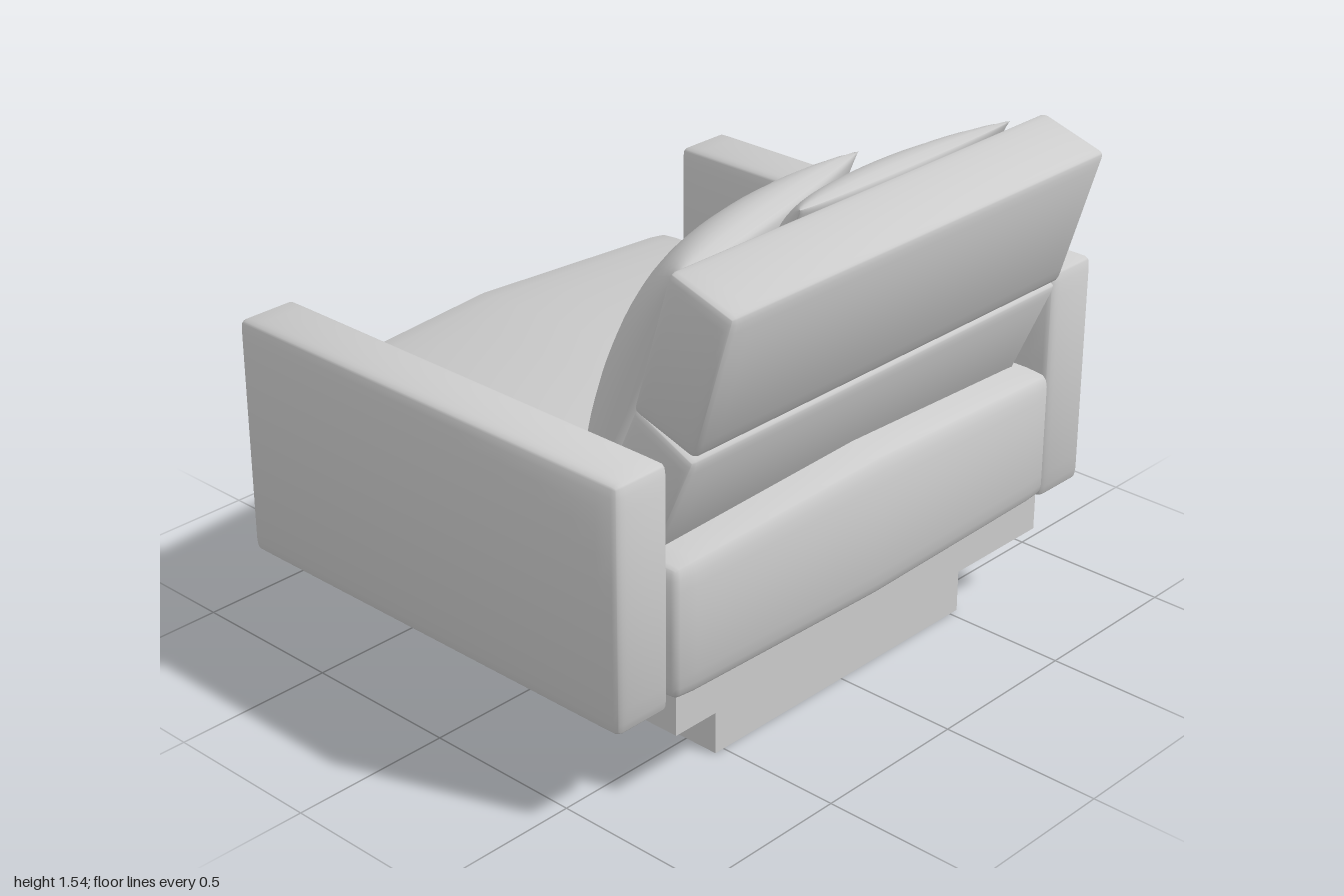
import * as THREE from 'three';
import { mergeVertices } from 'three/addons/utils/BufferGeometryUtils.js';

const grey = new THREE.MeshStandardMaterial({ color: 0xcccccc });
const greyThin = new THREE.MeshStandardMaterial({ color: 0xcccccc, side: THREE.DoubleSide });

function add(parent, name, geometry, x, y, z, material = grey) {
  const mesh = new THREE.Mesh(geometry, material);
  mesh.name = name;
  mesh.position.set(x, y, z);
  parent.add(mesh);
  return mesh;
}

function smooth(geometry) {
  geometry.deleteAttribute('uv');
  geometry.deleteAttribute('normal');
  const merged = mergeVertices(geometry, 1e-5);
  merged.computeVertexNormals();
  return merged;
}

// Upholstered block: rounded edges, with a top crown and end bulge along its depth
function upholstered(w, h, d, r, crown = 0, bulge = 0) {
  const geo = new THREE.BoxGeometry(2, 2, 2, 14, 14, 14);
  const pos = geo.attributes.position;
  const half = new THREE.Vector3(w / 2, h / 2, d / 2);
  const inner = half.clone().subScalar(r);
  const p = new THREE.Vector3(), core = new THREE.Vector3();
  for (let i = 0; i < pos.count; i++) {
    p.fromBufferAttribute(pos, i);
    // crowd the grid lines towards the edges
    p.set(...p.toArray().map((s) => Math.sin((s * Math.PI) / 2))).multiply(half);
    core.copy(p).clamp(inner.clone().negate(), inner);
    p.sub(core).setLength(r).add(core);
    const middle = 1 - Math.abs(p.z) / half.z;
    p.y += crown * middle * Math.max(0, p.y / half.y);
    p.x += bulge * middle * (p.x / half.x);
    pos.setXYZ(i, p.x, p.y, p.z);
  }
  const block = smooth(geo);
  // lean the normals outwards for a soft, padded shading
  const { position, normal } = block.attributes;
  for (let i = 0; i < position.count; i++) {
    p.fromBufferAttribute(position, i).divide(half).multiplyScalar(0.3);
    core.fromBufferAttribute(normal, i).add(p).normalize();
    normal.setXYZ(i, core.x, core.y, core.z);
  }
  return block;
}

// Removes the flat underside, leaving a hollow shell
function openBelow(geometry) {
  geometry.computeBoundingBox();
  const floor = geometry.boundingBox.min.y + 1e-4;
  const index = geometry.index.array, kept = [];
  for (let i = 0; i < index.length; i += 3) {
    const corners = [...index.slice(i, i + 3)];
    if (corners.some((c) => geometry.attributes.position.getY(c) > floor)) kept.push(...corners);
  }
  geometry.setIndex(kept);
  return geometry;
}

// Open four-sided band without top or bottom
function band(w, h, d) {
  const geo = new THREE.CylinderGeometry(Math.SQRT1_2, Math.SQRT1_2, h, 4, 1, true)
    .rotateY(Math.PI / 4).scale(w, 1, d).toNonIndexed();
  geo.computeVertexNormals();
  return geo;
}

// Square pillow with pinched corners: two puffed sheets joined at the seam
function pillow(parent, name, w, h, front, back, position, yaw, lean) {
  const group = new THREE.Group();
  group.name = name;
  for (const [label, depth, side] of [['Front', front, 1], ['Back', back, -1]]) {
    const geo = new THREE.PlaneGeometry(2, 2, 24, 24);
    if (side < 0) geo.rotateY(Math.PI);
    const pos = geo.attributes.position;
    for (let i = 0; i < pos.count; i++) {
      const u = Math.sin((pos.getX(i) * Math.PI) / 2), v = Math.sin((pos.getY(i) * Math.PI) / 2);
      const a = Math.max(0, 1 - u * u), b = Math.max(0, 1 - v * v);
      const puff = Math.pow(a * b, 0.42);
      pos.setXYZ(i, u * (w / 2) * (1 - 0.05 * Math.sqrt(b)), v * (h / 2) * (1 - 0.04 * Math.sqrt(a)), side * depth * puff);
    }
    add(group, name + label, smooth(geo), 0, 0, 0);
  }
  group.position.set(...position);
  group.rotation.set(-lean, -Math.PI / 2 + yaw, 0, 'YXZ');
  parent.add(group);
}

export function createModel() {
  const chair = new THREE.Group();
  chair.name = 'armchair';

  // Hollow plinth and seat rail
  add(chair, 'plinth', band(1.345, 0.207, 1.065), -0.0625, 0.1035, 0, greyThin);
  add(chair, 'seatRail', band(1.525, 0.12, 1.56), -0.067, 0.271, 0, greyThin);

  // Seat cushion, crowned along the middle and hollow underneath
  const seat = openBelow(upholstered(1.575, 0.412, 1.61, 0.045, 0.04, 0.02));
  add(chair, 'seatCushion', seat, -0.07, 0.525, 0, greyThin);

  // Armrests
  for (const s of [1, -1]) {
    add(chair, s > 0 ? 'leftArm' : 'rightArm', upholstered(1.475, 0.735, 0.195, 0.025), -0.0425, 0.6675, s * 0.9);
  }

  // Leaning backrest in two parts
  add(chair, 'lowerBack', upholstered(0.225, 0.42, 1.53, 0.02), 0.553, 0.884, 0).rotation.z = -0.42;
  add(chair, 'headCushion', upholstered(0.228, 0.45, 1.535, 0.02), 0.702, 1.29, 0).rotation.z = -0.295;

  // Loose pillows
  pillow(chair, 'backPillow', 0.89, 0.87, 0.17, 0.035, [0.45, 1.148, -0.19], 0, 0.45);
  pillow(chair, 'frontPillow', 0.98, 0.82, 0.21, 0.06, [0.362, 1.11, 0.245], 0.237, 0.39);

  return chair;
}
